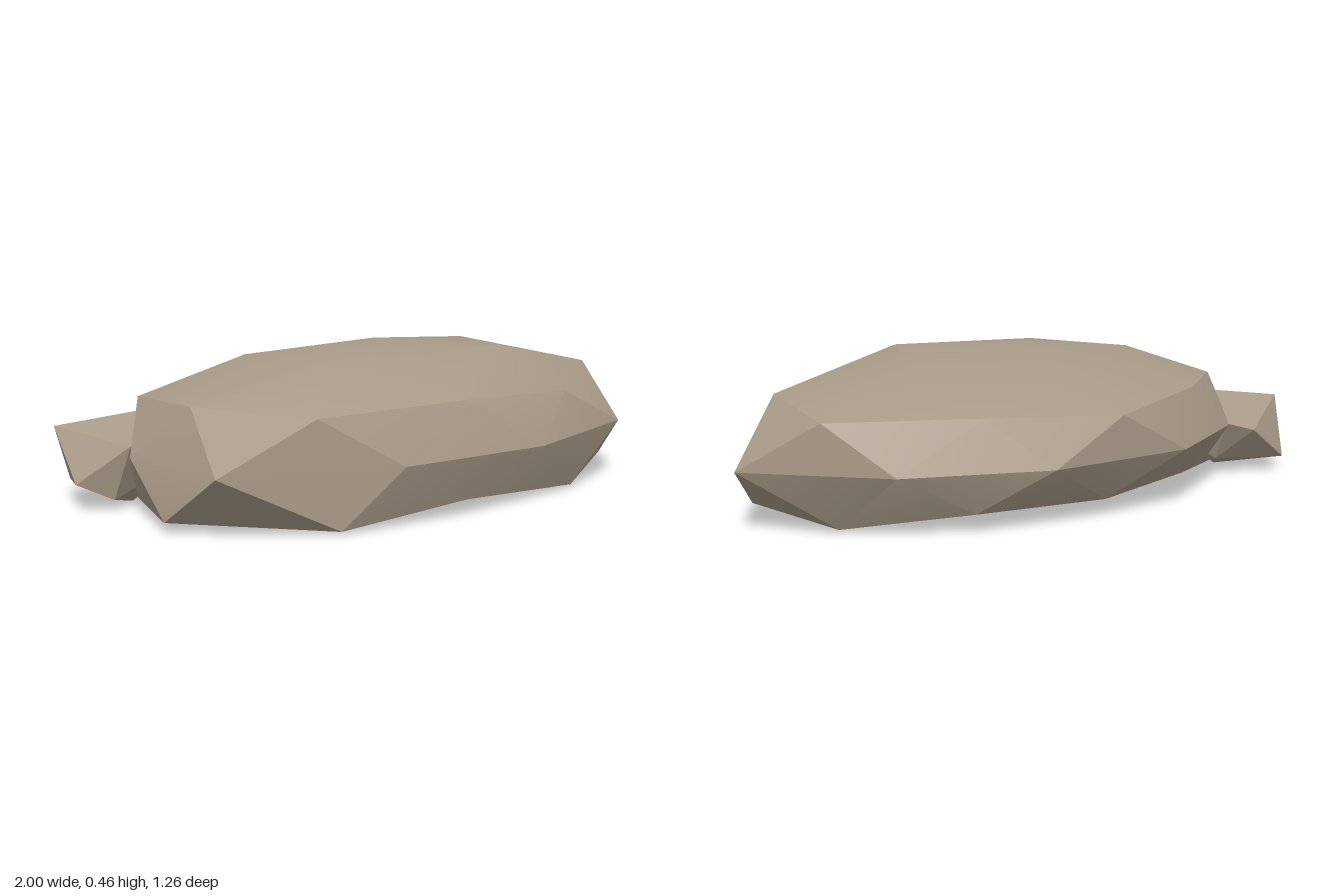
import * as THREE from 'three';
import { toCreasedNormals } from 'three/addons/utils/BufferGeometryUtils.js';
import { ConvexGeometry } from 'three/addons/geometries/ConvexGeometry.js';

// Cross-sections of the boulder, each running round from +x towards +z
const under = [[0.4, 0, 0.22], [-0.15, 0, 0.36], [-0.52, 0, 0], [-0.15, 0, -0.32], [0.36, 0, -0.2]];
const lower = [
  [0.83, 0.01, 0], [0.76, 0.025, 0.4], [0.24, 0.01, 0.575], [-0.29, 0.045, 0.53], [-0.71, 0.01, 0.4],
  [-0.98, 0.03, 0], [-0.71, 0.01, -0.38], [-0.27, 0.05, -0.5], [0.22, 0.05, -0.5], [0.62, 0.055, -0.32],
];
const waist = [
  [1, 0.23], [0.57, 0.57], [-0.03, 0.63], [-0.55, 0.5], [-1, 0.21],
  [-0.9, -0.21], [-0.53, -0.54], [-0.03, -0.635], [0.47, -0.49], [0.82, -0.2],
].map(([x, z]) => [x, 0.175, z]);
const upper = [
  [0.9, 0.32, 0], [0.7, 0.35, 0.36], [0.22, 0.31, 0.56], [-0.27, 0.33, 0.51], [-0.76, 0.32, 0.36],
  [-0.87, 0.335, 0], [-0.72, 0.32, -0.36], [-0.27, 0.33, -0.53], [0.22, 0.305, -0.56], [0.58, 0.32, -0.32],
];
const crown = [[0.48, 0.43, 0], [0.13, 0.448, 0.355], [-0.44, 0.43, 0.2], [-0.42, 0.43, -0.2], [0.13, 0.41, -0.32]];
const peak = [-0.03, 0.463, 0];
const base = [0, 0, 0];

function boulderGeometry() {
  const pos = [];
  const tri = (a, b, c) => pos.push(...a, ...b, ...c);
  const at = (ring, i) => ring[(i + ring.length) % ring.length];

  // Staggered belts of triangles above and below the waist
  for (let k = 0; k < 10; k++) {
    tri(waist[k], at(upper, k + 1), at(waist, k + 1));
    tri(upper[k], at(upper, k + 1), waist[k]);
    tri(lower[k], waist[k], at(lower, k + 1));
    tri(at(waist, k - 1), waist[k], lower[k]);
  }
  // Crown and underside, each closing to a single point
  for (let j = 0; j < 5; j++) {
    const i = 2 * j;
    const t0 = crown[j], t1 = at(crown, j + 1);
    tri(upper[i], t0, upper[i + 1]);
    tri(t0, t1, upper[i + 1]);
    tri(upper[i + 1], t1, at(upper, i + 2));
    tri(t0, peak, t1);

    const b0 = under[j], b1 = at(under, j + 1);
    tri(lower[i + 1], at(lower, i + 2), b0);
    tri(at(lower, i + 2), at(lower, i + 3), b1);
    tri(b0, at(lower, i + 2), b1);
    tri(b0, b1, base);
  }
  const geometry = new THREE.BufferGeometry();
  geometry.setAttribute('position', new THREE.Float32BufferAttribute(pos, 3));
  return toCreasedNormals(geometry, 0.4);
}

// Corners of the small stone leaning against the boulder
const stoneCorners = [
  [-0.64, 0.27, -0.4], [-0.84, 0.193, -0.27], [-0.935, 0.08, -0.4], [-0.89, 0.235, -0.54],
  [-0.75, 0.045, -0.635], [-0.58, 0.155, -0.605], [-0.51, 0.18, -0.54], [-0.55, 0.05, -0.48],
  [-0.72, 0, -0.39], [-0.85, 0.03, -0.33], [-0.6, 0.12, -0.3],
];

export function createModel() {
  const model = new THREE.Group();
  model.name = 'rocks';
  const stone = new THREE.MeshStandardMaterial({ color: 0xa89a88 });
  stone.name = 'warm grey stone';

  const boulder = new THREE.Mesh(boulderGeometry(), stone);
  boulder.name = 'boulder';

  const pebble = new THREE.Mesh(
    new ConvexGeometry(stoneCorners.map((p) => new THREE.Vector3(...p))), stone);
  pebble.name = 'smallStone';

  model.add(boulder, pebble);
  return model;
}
